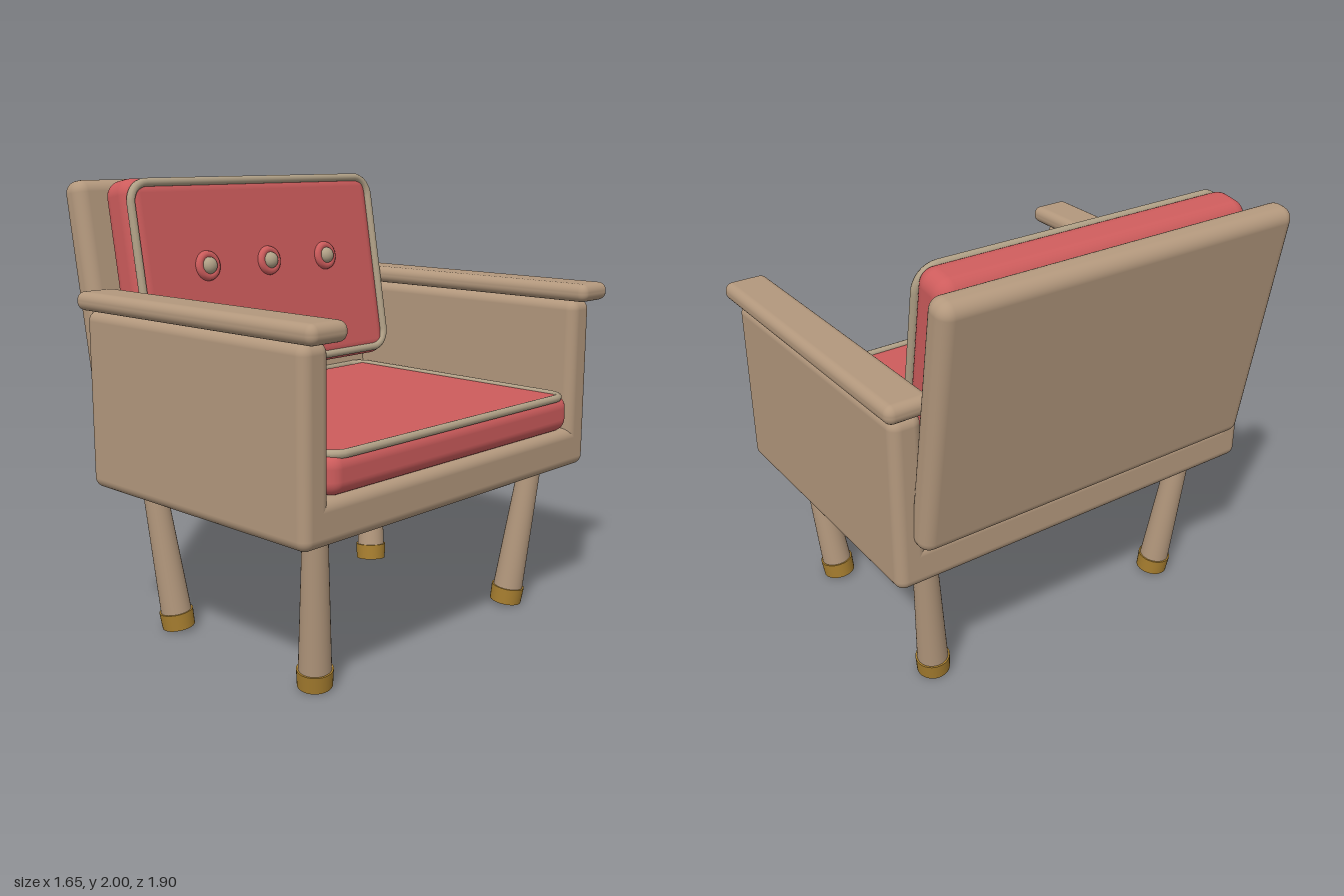
import * as THREE from 'three';
import { RoundedBoxGeometry } from 'three/addons/geometries/RoundedBoxGeometry.js';

const material = (name, color) => {
  const m = new THREE.MeshStandardMaterial({ color });
  m.name = name;
  return m;
};

export function createModel() {
  const wood = material('wood', 0xb3987d);
  const fabric = material('redFabric', 0xcd5c5c);
  const trim = material('trim', 0xb0a086);
  const brass = material('brass', 0xa87f30);

  const chair = new THREE.Group();
  chair.name = 'armchair';

  const add = (parent, name, geometry, mat, x = 0, y = 0, z = 0) => {
    const mesh = new THREE.Mesh(geometry, mat);
    mesh.name = name;
    mesh.position.set(x, y, z);
    parent.add(mesh);
    return mesh;
  };

  // Rounded box given by its extents along x, y and z
  const box = (parent, name, mat, [x0, x1], [y0, y1], [z0, z1], r) =>
    add(parent, name, new RoundedBoxGeometry(x1 - x0, y1 - y0, z1 - z0, 5, r), mat,
      (x0 + x1) / 2, (y0 + y1) / 2, (z0 + z1) / 2);

  // Closed piping tube round a rectangle with rounded corners, in the xy plane
  const piping = (w, h, corner, r) => {
    const path = new THREE.CurvePath();
    const a = w / 2, b = h / 2, c = corner;
    const v = (x, y) => new THREE.Vector3(x, y, 0);
    const corners = [[1, 1], [-1, 1], [-1, -1], [1, -1]];
    corners.forEach(([sx, sy], i) => {
      const alongX = v(sx * (a - c), sy * b);
      const alongY = v(sx * a, sy * (b - c));
      const [start, end] = i % 2 === 0 ? [alongY, alongX] : [alongX, alongY];
      path.add(new THREE.QuadraticBezierCurve3(start, v(sx * (a - c * 0.15), sy * (b - c * 0.15)), end));
      const [nx, ny] = corners[(i + 1) % 4];
      const next = i % 2 === 0 ? v(nx * (a - c), ny * b) : v(nx * a, ny * (b - c));
      path.add(new THREE.LineCurve3(end, next));
    });
    return new THREE.TubeGeometry(path, 240, r, 10, true);
  };

  // Base frame
  box(chair, 'baseFrame', wood, [-0.58, 0.745], [0.675, 0.86], [-0.92, 0.92], 0.045);

  // Side panels and armrests
  for (const s of [-1, 1]) {
    const span = (inner, outer) => (s > 0 ? [inner, outer] : [-outer, -inner]);
    box(chair, 'armPanel', wood, [-0.58, 0.745], [0.69, 1.45], span(0.78, 0.92), 0.045);
    box(chair, 'armrest', wood, [-0.61, 0.815], [1.45, 1.53], span(0.75, 0.95), 0.036);
  }

  // Seat cushion with piping round its top edge
  box(chair, 'seatCushion', fabric, [-0.55, 0.745], [0.855, 1.025], [-0.78, 0.78], 0.06);
  const seatPiping = add(chair, 'seatPiping', piping(1.28, 1.51, 0.07, 0.018), trim, 0.09, 1.017, 0);
  seatPiping.rotation.x = -Math.PI / 2;

  // Leaning back panel
  const tilt = THREE.MathUtils.degToRad(9.8);
  const backPanel = add(chair, 'backPanel', new RoundedBoxGeometry(0.13, 1.135, 1.69, 5, 0.055), wood,
    -0.678, 1.425, 0);
  backPanel.rotation.z = tilt;

  // Back cushion, piping and buttons share the lean
  const back = new THREE.Group();
  back.name = 'backCushionGroup';
  back.position.set(-0.51, 1.54, 0);
  back.rotation.z = tilt;
  chair.add(back);
  add(back, 'backCushion', new RoundedBoxGeometry(0.195, 0.912, 1.5, 6, 0.07), fabric);
  const backPiping = add(back, 'backPiping', piping(1.47, 0.855, 0.08, 0.019), trim, 0.091, 0.003, 0);
  backPiping.rotation.y = Math.PI / 2;
  for (const z of [-0.37, 0, 0.37]) {
    const ring = add(back, 'buttonTuft', new THREE.TorusGeometry(0.048, 0.02, 10, 32), fabric, 0.098, 0.055, z);
    ring.rotation.y = Math.PI / 2;
    const button = add(back, 'button', new THREE.SphereGeometry(0.038, 24, 16), trim, 0.112, 0.055, z);
    button.scale.x = 0.8;
  }

  // Splayed legs, wider at the foot, with brass tips
  const up = new THREE.Vector3(0, 1, 0);
  for (const sx of [-1, 1]) {
    for (const sz of [-1, 1]) {
      const foot = new THREE.Vector3(0.083 + sx * 0.435, 0.012, sz * 0.643);
      const top = new THREE.Vector3(0.083 + sx * 0.508, 0.72, sz * 0.712);
      const axis = top.clone().sub(foot);
      const length = axis.length();
      const leg = new THREE.Group();
      leg.name = 'leg';
      leg.position.copy(foot);
      leg.quaternion.setFromUnitVectors(up, axis.normalize());
      chair.add(leg);
      add(leg, 'legShaft', new THREE.CylinderGeometry(0.05, 0.07, length - 0.02, 32), wood, 0, length / 2 + 0.01, 0);
      add(leg, 'legTip', new THREE.CylinderGeometry(0.076, 0.073, 0.075, 32), brass, 0, 0.0375, 0);
    }
  }
  return chair;
}
